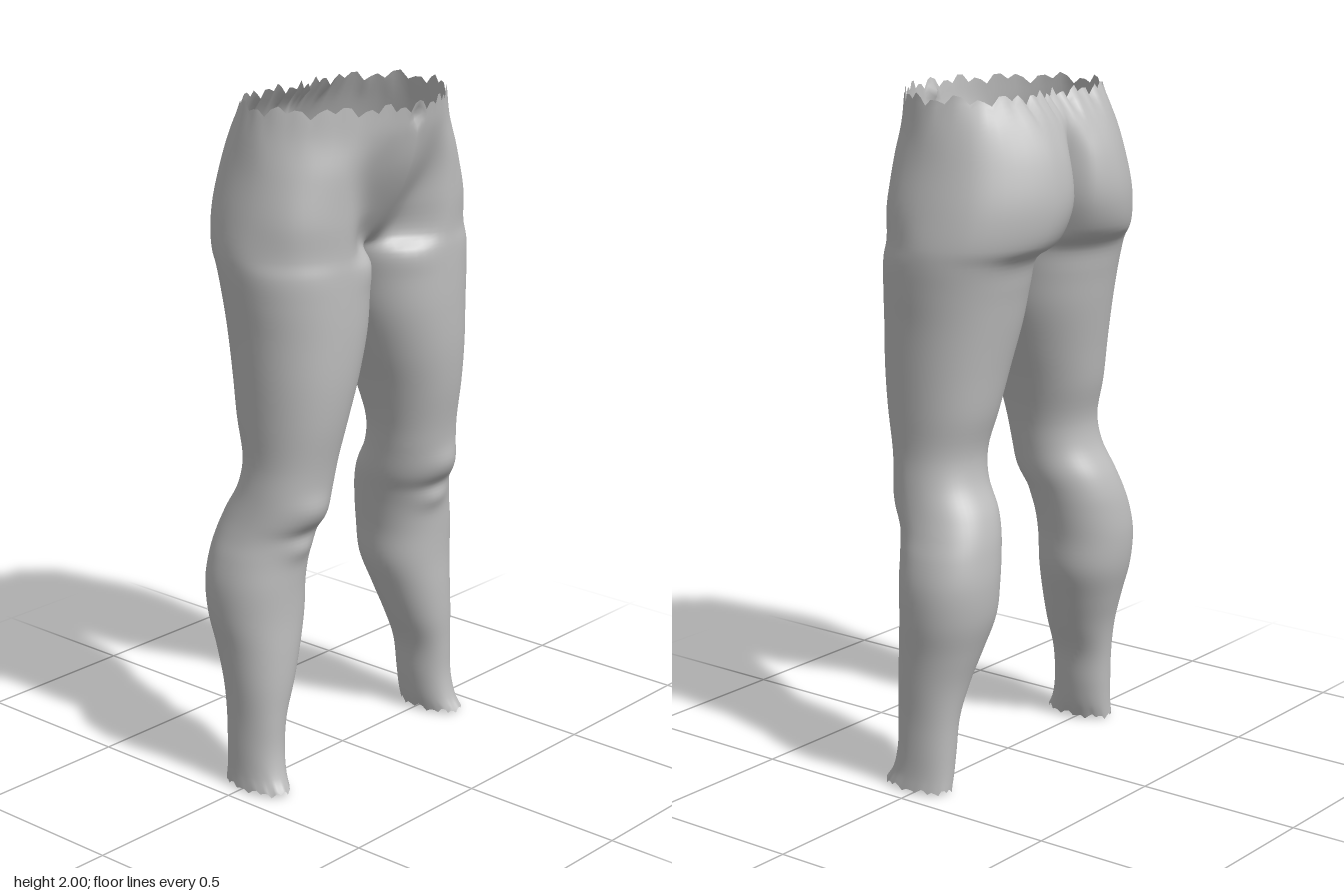
import * as THREE from 'three';
import { mergeVertices } from 'three/addons/utils/BufferGeometryUtils.js';

const AROUND = 48; // samples around one leg
const STEPS = 5;   // samples between neighbouring sections

// Leg sections, bottom to top: y, inner x, outer x, front z, back z
const LEG = [
  [0.01, 0.335, 0.455, 0.13, -0.09],
  [0.05, 0.325, 0.450, 0.108, -0.09],
  [0.12, 0.315, 0.447, 0.093, -0.092],
  [0.22, 0.303, 0.445, 0.093, -0.098],
  [0.32, 0.265, 0.450, 0.098, -0.115],
  [0.42, 0.228, 0.457, 0.098, -0.145],
  [0.52, 0.195, 0.469, 0.095, -0.175],
  [0.62, 0.188, 0.470, 0.097, -0.185],
  [0.70, 0.176, 0.455, 0.103, -0.18],
  [0.76, 0.165, 0.436, 0.118, -0.17],
  [0.82, 0.153, 0.420, 0.145, -0.15],
  [0.90, 0.147, 0.405, 0.160, -0.108],
  [0.98, 0.137, 0.396, 0.172, -0.097],
  [1.10, 0.106, 0.400, 0.195, -0.125],
  [1.22, 0.066, 0.405, 0.210, -0.145],
  [1.35, 0.026, 0.411, 0.216, -0.168],
  [1.45, 0.010, 0.420, 0.216, -0.185],
  [1.53, 0.000, 0.425, 0.214, -0.205],
];

// Hip sections: y, then (x, z) pairs from the front midline round the side to the back midline
const HIPS = [
  [1.58, 0, 0.10, 0.07, 0.125, 0.21, 0.21, 0.36, 0.15, 0.423, 0, 0.37, -0.16, 0.19, -0.262, 0.06, -0.225, 0, -0.08],
  [1.68, 0, 0.18, 0.09, 0.165, 0.22, 0.213, 0.36, 0.145, 0.405, 0, 0.355, -0.17, 0.17, -0.287, 0.05, -0.268, 0, -0.17],
  [1.80, 0, 0.245, 0.12, 0.215, 0.23, 0.211, 0.34, 0.13, 0.378, 0, 0.33, -0.16, 0.16, -0.27, 0.06, -0.264, 0, -0.2],
  [1.90, 0, 0.272, 0.11, 0.25, 0.21, 0.209, 0.315, 0.12, 0.36, 0, 0.31, -0.14, 0.17, -0.226, 0.07, -0.228, 0, -0.21],
  [1.98, 0, 0.283, 0.10, 0.263, 0.20, 0.208, 0.30, 0.12, 0.345, 0, 0.29, -0.12, 0.18, -0.172, 0.08, -0.172, 0, -0.155],
];

const softPower = (v, p) => Math.sign(v) * Math.abs(v) ** p;

function legRing([y, inner, outer, front, back]) {
  const xc = (inner + outer) / 2, rx = (outer - inner) / 2;
  const zc = (front + back) / 2, rz = (front - back) / 2;
  return Array.from({ length: AROUND + 1 }, (_, i) => {
    const a = (i % AROUND) / AROUND * Math.PI * 2;
    return new THREE.Vector3(xc - rx * softPower(Math.cos(a), 0.93), y, zc + rz * softPower(Math.sin(a), 0.93));
  });
}

function hipArc([y, ...xz]) {
  const points = [];
  for (let i = 0; i < xz.length; i += 2) points.push(new THREE.Vector3(xz[i], y, xz[i + 1]));
  const arc = new THREE.CatmullRomCurve3(points).getPoints(AROUND);
  arc.forEach((p) => { p.x = Math.max(0, p.x); });
  return arc;
}

// Uneven torn edge, between -1 and 1
const jag = (i) => 0.6 * Math.sin(i * 2.1 + 0.6) + 0.4 * Math.sin(i * 0.9 + 2);

const bump = (p, x, y, rx, ry) => Math.exp(-(((p.x - x) / rx) ** 2) - ((p.y - y) / ry) ** 2);

// Kneecap, shin hollow and navel
function sculpt(p) {
  if (p.z > 0.03) {
    p.z += 0.014 * bump(p, 0.295, 0.85, 0.07, 0.045);
    p.z -= 0.008 * bump(p, 0.295, 0.775, 0.08, 0.025);
    p.z += 0.010 * bump(p, 0.295, 0.725, 0.05, 0.03);
    p.z -= 0.025 * bump(p, 0, 1.95, 0.012, 0.02);
  }
  return p;
}

function buildSkin() {
  const sections = [...LEG.map(legRing), ...HIPS.map(hipArc)];
  // Torn hems at the ankles and the waist
  sections[0].forEach((p, i) => { p.y += 0.01 * jag(i % AROUND); });
  sections.at(-1).forEach((p, i) => { p.y += 0.02 * jag(i); });

  const rows = (sections.length - 1) * STEPS;
  const columns = sections[0].map((_, i) =>
    new THREE.CatmullRomCurve3(sections.map((s) => s[i])).getPoints(rows).map(sculpt));

  const positions = [], index = [];
  for (const side of [1, -1]) {
    const base = positions.length / 3;
    columns.forEach((column) => column.forEach((p) =>
      positions.push(side * Math.max(0, p.x), THREE.MathUtils.clamp(p.y, 0, 2), p.z)));
    for (let c = 0; c < AROUND; c++) {
      for (let r = 0; r < rows; r++) {
        const a = base + c * (rows + 1) + r, b = a + rows + 1;
        if (side > 0) index.push(a, b, b + 1, a, b + 1, a + 1);
        else index.push(a, b + 1, b, a, a + 1, b + 1);
      }
    }
  }
  const geometry = new THREE.BufferGeometry();
  geometry.setAttribute('position', new THREE.Float32BufferAttribute(positions, 3));
  geometry.setIndex(index);
  // Weld the leg seams and the midline for smooth shading
  const welded = mergeVertices(geometry, 1e-5);
  welded.computeVertexNormals();
  return welded;
}

export function createModel() {
  const group = new THREE.Group();
  group.name = 'lowerBody';
  const grey = new THREE.MeshStandardMaterial({ color: 0xbcbcbc, side: THREE.DoubleSide });
  grey.name = 'plainGrey';
  const skin = new THREE.Mesh(buildSkin(), grey);
  skin.name = 'hipsAndLegs';
  group.add(skin);
  return group;
}
